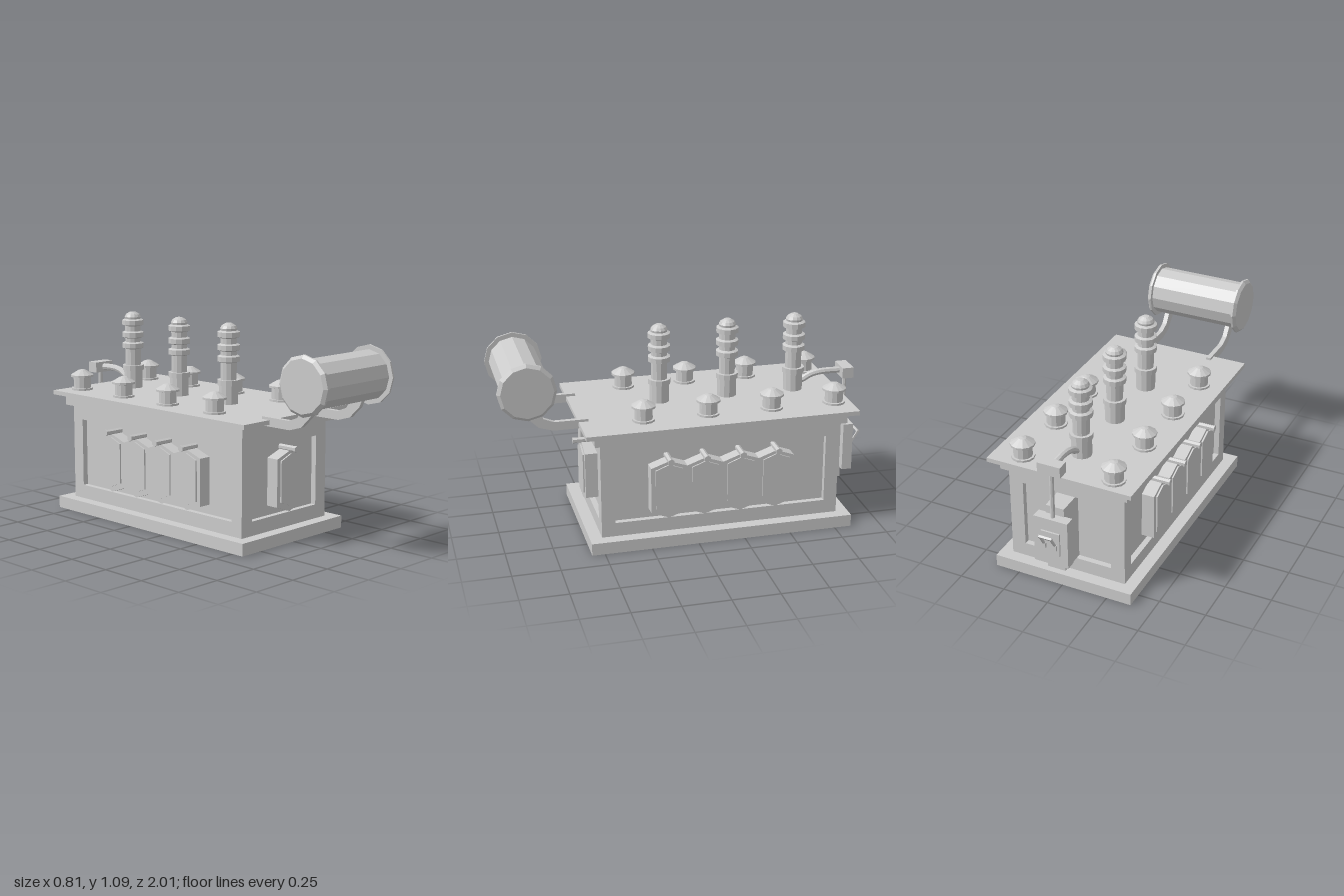
import * as THREE from 'three';

const mat = new THREE.MeshStandardMaterial({ color: 0xcccccc, flatShading: true });
const CZ = -0.136; // tank centre along z
const CX = -0.012; // centre line of the fittings on the lid

export function createModel() {
  const model = new THREE.Group();
  const add = (name, geo, x = 0, y = 0, z = 0, parent = model) => {
    const m = new THREE.Mesh(geo, mat);
    m.name = name;
    m.position.set(x, y, z);
    parent.add(m);
    return m;
  };
  // box given by its limits
  const box = (name, x0, x1, y0, y1, z0, z1, parent) =>
    add(name, new THREE.BoxGeometry(x1 - x0, y1 - y0, z1 - z0),
      (x0 + x1) / 2, (y0 + y1) / 2, (z0 + z1) / 2, parent);
  const poly = (pts) => new THREE.Shape(pts.map(([a, b]) => new THREE.Vector2(a, b)));
  const extrude = (shape, depth) =>
    new THREE.ExtrudeGeometry(shape, { depth, bevelEnabled: false, curveSegments: 6 });
  const lathe = (pts) => new THREE.LatheGeometry(pts.map(([r, y]) => new THREE.Vector2(r, y)), 12);

  // plinth, tank core and stepped lid
  const D = 0.03;
  box('base', -0.383, 0.383, 0, 0.065, -0.84, 0.568);
  box('tankCore', -0.32 + D, 0.32 - D, 0.065, 0.585, -0.775 + D, 0.503 - D);
  box('lidRim', -0.35, 0.35, 0.585, 0.642, -0.807, 0.535);
  box('lidPlate', -0.395, 0.395, 0.642, 0.665, -0.857, 0.585);

  // raised frames leave a sunken panel on each wall
  const wallFrame = (halfW, panelW) => {
    const s = poly([[-halfW, 0.065], [halfW, 0.065], [halfW, 0.585], [-halfW, 0.585]]);
    s.holes.push(poly([[-panelW, 0.14], [-panelW, 0.51], [panelW, 0.51], [panelW, 0.14]]));
    return extrude(s, D);
  };
  // pivot groups whose local +z points out of a wall, z = 0 on the wall surface
  const wall = (name, halfW, panelW, x, z, turn) => {
    const g = new THREE.Group();
    g.name = name;
    g.position.set(x, 0, z);
    g.rotation.y = turn;
    model.add(g);
    add('wallFrame', wallFrame(halfW, panelW), 0, 0, -D, g);
    return g;
  };
  const front = wall('frontWall', 0.32, 0.244, 0, 0.503, 0);
  wall('backWall', 0.32, 0.244, 0, -0.775, Math.PI);
  const left = wall('leftWall', 0.639, 0.567, 0.32, CZ, Math.PI / 2);
  const right = wall('rightWall', 0.639, 0.567, -0.32, CZ, -Math.PI / 2);

  // six-sided cooling fin with raised face and a valve pin above
  const hex = (w, y0, y1, slope) => poly([[0, y0], [w, y0 + slope], [w, y1 - slope],
    [0, y1], [-w, y1 - slope], [-w, y0 + slope]]);
  const fin = (parent, x) => {
    add('coolingFin', extrude(hex(0.0955, 0.157, 0.475, 0.034), 0.038 + D), x, 0, -D, parent);
    add('finFace', extrude(hex(0.072, 0.186, 0.458, 0.028), 0.01), x, 0, 0.036, parent);
    const pin = new THREE.CylinderGeometry(0.015, 0.015, 0.076 + D, 6).rotateX(Math.PI / 2);
    add('valvePin', pin, x, 0.486, (0.076 - D) / 2, parent);
    const cap = new THREE.CylinderGeometry(0.018, 0.018, 0.008, 6).rotateX(Math.PI / 2);
    add('valveCap', cap, x, 0.486, 0.08, parent);
  };
  fin(front, -0.004);
  for (let i = 0; i < 4; i++) {
    const z = 0.153 - i * 0.191;
    fin(left, -(z - CZ));
    fin(right, z - CZ);
  }

  // small capped bushings in two rows
  const smallBushing = lathe([[0, 0], [0.06, 0], [0.06, 0.012], [0.048, 0.012], [0.048, 0.07],
    [0.063, 0.073], [0.063, 0.084], [0.02, 0.11], [0, 0.114]]);
  for (let i = 0; i < 4; i++)
    for (const s of [-1, 1])
      add('smallBushing', smallBushing, CX + s * 0.25, 0.664, 0.258 - i * 0.342);

  // tall ribbed insulators along the centre line
  const ribs = [];
  for (const y of [0.225, 0.285, 0.353])
    ribs.push([0.044, y - 0.006], [0.06, y], [0.06, y + 0.026], [0.044, y + 0.033]);
  const tallBushing = lathe([[0, 0], [0.052, 0], [0.052, 0.1], [0.06, 0.1], [0.06, 0.128],
    [0.043, 0.128], ...ribs, [0.046, 0.397], [0.038, 0.411], [0.018, 0.424], [0, 0.426]]);
  for (let i = 0; i < 3; i++)
    add('tallBushing', tallBushing, CX, 0.664, 0.116 - i * 0.369);

  // oil drum with chamfered end caps
  const drum = new THREE.Group();
  drum.name = 'oilDrum';
  drum.position.set(CX, 0.871, 0.849);
  drum.rotation.z = Math.PI / 2;
  model.add(drum);
  add('drumShell', lathe([[0, -0.268], [0.135, -0.268], [0.152, -0.254], [0.152, -0.243],
    [0.128, -0.243], [0.128, 0.243], [0.152, 0.243], [0.152, 0.254], [0.135, 0.268],
    [0, 0.268]]), 0, 0, 0, drum);

  // bent drum supports, profile in (-z, y) turned to run along z
  const arm = poly([[-0.87, 0.76], [-0.85, 0.715], [-0.79, 0.655], [-0.715, 0.632], [-0.535, 0.632],
    [-0.535, 0.678], [-0.71, 0.678], [-0.765, 0.7], [-0.8, 0.75], [-0.8, 0.77]]);
  for (const s of [-1, 1]) {
    const m = add('drumSupport', extrude(arm, 0.025).translate(0, 0, -0.0125), CX + s * 0.186, 0, 0);
    m.rotation.y = Math.PI / 2;
  }

  // rear housing, control cabinet and junction box
  box('rearHousing', -0.05, 0.05, 0.14, 0.51, -0.893, -0.74);
  box('controlCabinet', -0.093, 0.093, 0.2, 0.465, -0.942, -0.887);
  box('cabinetPlate', -0.052, 0.052, 0.265, 0.395, -0.951, -0.94);
  box('junctionBox', -0.062, 0.062, 0.722, 0.78, -0.942, -0.88);
  add('riser', new THREE.CylinderGeometry(0.012, 0.012, 0.28, 8), 0, 0.595, -0.914);
  const V = (x, y, z) => new THREE.Vector3(x, y, z);
  add('conduit', new THREE.TubeGeometry(new THREE.CatmullRomCurve3([V(CX, 0.705, -0.62),
    V(-0.008, 0.712, -0.67), V(-0.004, 0.738, -0.715), V(0, 0.752, -0.77), V(0, 0.752, -0.9)]),
  14, 0.018, 8));

  // tilted U-shaped switch handle
  const handle = new THREE.Group();
  handle.name = 'switchHandle';
  handle.position.set(0, 0.315, -0.948);
  handle.rotation.x = -0.56;
  model.add(handle);
  for (const s of [-1, 1])
    box('handleArm', s * 0.03 - 0.005, s * 0.03 + 0.005, 0, 0.095, -0.005, 0.005, handle);
  box('handleGrip', -0.036, 0.036, 0.085, 0.097, -0.006, 0.006, handle);
  for (const s of [-1, 1])
    box('handlePivot', s * 0.03 - 0.009, s * 0.03 + 0.009, 0.3, 0.33, -0.962, -0.948);
  return model;
}
